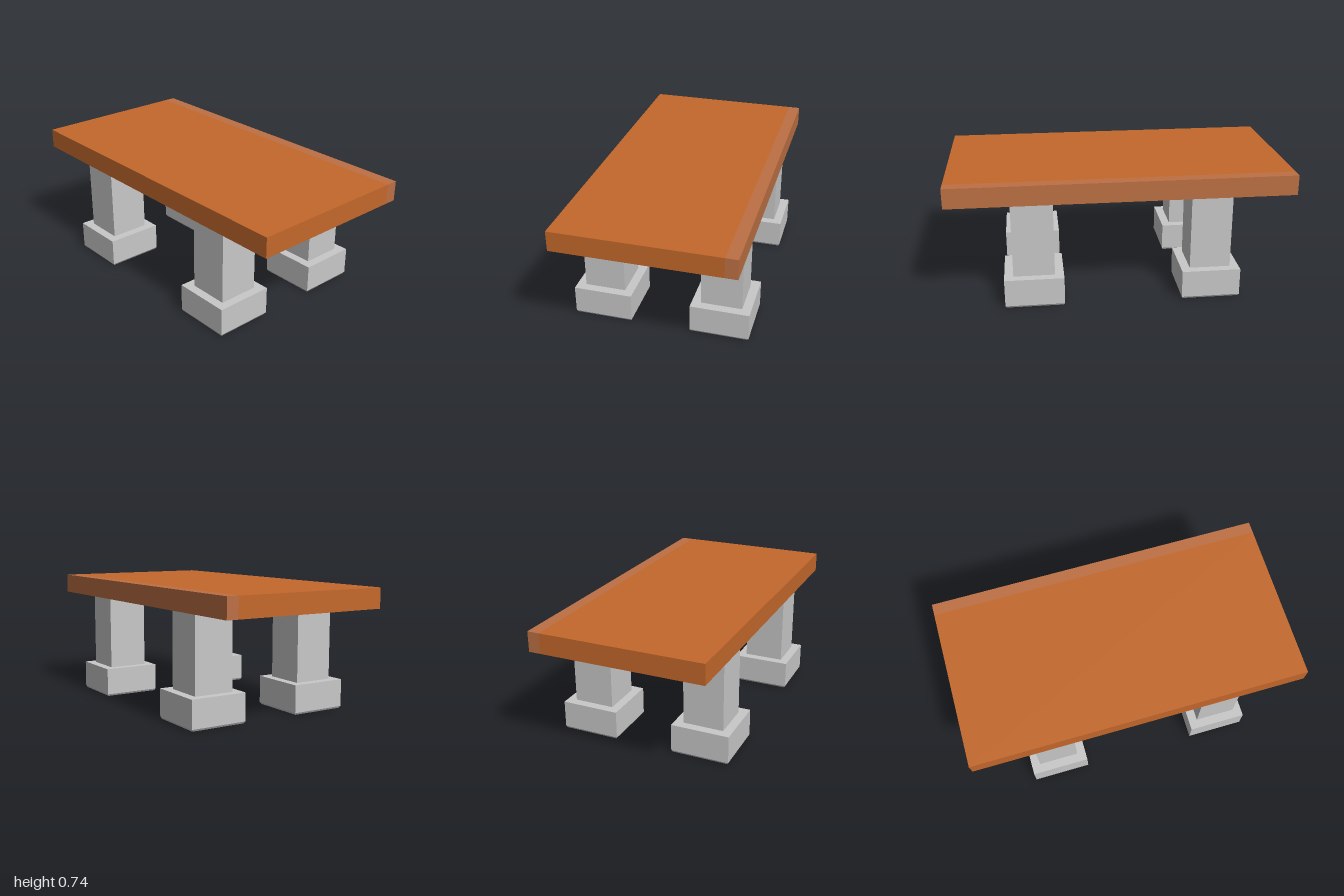
import * as THREE from 'three';

const wood = new THREE.MeshStandardMaterial({ color: 0xc4682b });
wood.name = 'orange wood';
const wornWood = new THREE.MeshStandardMaterial({ color: 0xbd7044 });
wornWood.name = 'faded wood';
const stone = new THREE.MeshStandardMaterial({ color: 0xc8c8c8 });
stone.name = 'grey stone';

// Box given by its lower and upper corners
function box(name, material, [x0, y0, z0], [x1, y1, z1]) {
  const mesh = new THREE.Mesh(new THREE.BoxGeometry(x1 - x0, y1 - y0, z1 - z0), material);
  mesh.position.set((x0 + x1) / 2, (y0 + y1) / 2, (z0 + z1) / 2);
  mesh.name = name;
  return mesh;
}

// Square solid turned from a profile of [half width, height] points
function squareTurned(profile) {
  const points = profile.map(([half, y]) => new THREE.Vector2(half * Math.SQRT2, y));
  const geometry = new THREE.LatheGeometry(points, 4, Math.PI / 4).toNonIndexed();
  geometry.computeVertexNormals();
  return geometry;
}

export function createModel() {
  const table = new THREE.Group();
  table.name = 'table';

  // Slab top with a faded strip along the back edge
  table.add(box('tabletop', wood, [-1, 0.625, -0.44], [1, 0.743, 0.51]));
  table.add(box('tabletopBackStrip', wornWood, [-1, 0.625, -0.51], [1, 0.743, -0.44]));

  // Foot: recess underneath, bevelled bottom rim, block sides, flat top
  const footGeometry = squareTurned([
    [0, 0.08], [0.102, 0.08], [0.102, 0], [0.165, 0],
    [0.1725, 0.012], [0.1725, 0.175], [0, 0.175],
  ]);

  // Four legs, each a square post on a foot
  for (const x of [-0.517, 0.517]) {
    for (const z of [-0.3475, 0.3475]) {
      const leg = new THREE.Group();
      leg.name = (z > 0 ? 'front' : 'back') + (x > 0 ? 'Left' : 'Right') + 'Leg';
      const foot = new THREE.Mesh(footGeometry, stone);
      foot.name = 'foot';
      leg.add(foot, box('post', stone, [-0.12, 0.175, -0.12], [0.12, 0.625, 0.12]));
      leg.position.set(x, 0, z);
      table.add(leg);
    }
  }
  return table;
}
